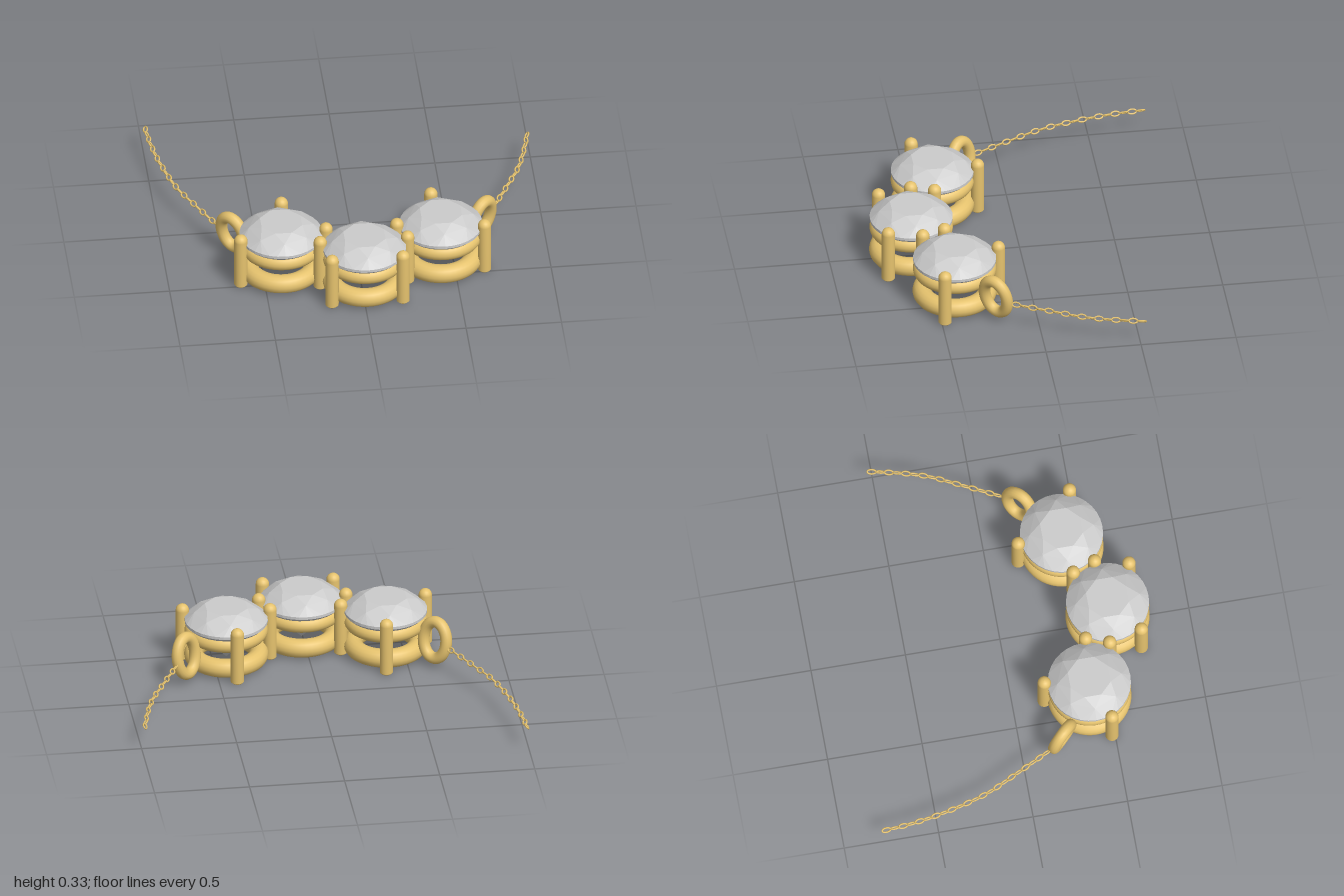
import * as THREE from 'three';
import { ConvexGeometry } from 'three/addons/geometries/ConvexGeometry.js';

const gold = new THREE.MeshStandardMaterial({ color: 0xe6c36e });
const gem = new THREE.MeshStandardMaterial({ color: 0xcccccc, flatShading: true });

function add(parent, name, geometry, material, x = 0, y = 0, z = 0) {
  const mesh = new THREE.Mesh(geometry, material);
  mesh.name = name;
  mesh.position.set(x, y, z);
  parent.add(mesh);
  return mesh;
}

// Closed oval of round wire lying in the XY plane
function ovalRing(rx, ry, wire, segments, sides) {
  const points = [];
  for (let i = 0; i < 16; i++) {
    const a = (i / 16) * Math.PI * 2;
    points.push(new THREE.Vector3(rx * Math.cos(a), ry * Math.sin(a), 0));
  }
  return new THREE.TubeGeometry(new THREE.CatmullRomCurve3(points, true), segments, wire, sides, true);
}

// Round brilliant: the convex hull of table, star, girdle and culet points
function brilliant() {
  const points = [new THREE.Vector3(0, 0.035, 0)];
  const circle = (r, y, n, offset = 0) => {
    for (let i = 0; i < n; i++) {
      const a = ((i + offset) / n) * Math.PI * 2;
      points.push(new THREE.Vector3(r * Math.cos(a), y, r * Math.sin(a)));
    }
  };
  circle(0.115, 0.33, 8, 0.5);
  circle(0.17, 0.302, 8);
  circle(0.217, 0.258, 32);
  circle(0.217, 0.243, 32);
  circle(0.105, 0.142, 8, 0.5);
  return new ConvexGeometry(points);
}

// Round post with a domed tip
function prongGeometry() {
  const r = 0.035, top = 0.315;
  const profile = [[0, 0], [r * 0.8, 0], [r, 0.008]].map(p => new THREE.Vector2(...p));
  for (let i = 0; i <= 6; i++) {
    const a = (i / 6) * Math.PI / 2;
    profile.push(new THREE.Vector2(r * Math.cos(a), top - r + r * Math.sin(a)));
  }
  return new THREE.LatheGeometry(profile, 20);
}

export function createModel() {
  const model = new THREE.Group();
  model.name = 'necklace';
  const body = new THREE.Group();
  body.name = 'pendantAndChain';
  body.position.x = 0.014;
  model.add(body);

  // Three stones, each over two rings
  const stone = brilliant();
  const lowerRing = new THREE.TorusGeometry(0.17, 0.05, 16, 48).rotateX(Math.PI / 2);
  const upperRing = new THREE.TorusGeometry(0.177, 0.041, 16, 48).rotateX(Math.PI / 2);
  for (const [x, z] of [[-0.419, 0.402], [0, 0.572], [0.419, 0.402]]) {
    const setting = new THREE.Group();
    setting.name = 'setting';
    setting.position.set(x, 0, z);
    body.add(setting);
    add(setting, 'stone', stone, gem);
    add(setting, 'lowerRing', lowerRing, gold, 0, 0.053, 0);
    add(setting, 'upperRing', upperRing, gold, 0, 0.193, 0);
  }

  const prong = prongGeometry();
  const bail = ovalRing(0.073, 0.1, 0.031, 40, 14);
  const link = ovalRing(0.023, 0.0125, 0.0045, 18, 6);
  const xAxis = new THREE.Vector3(1, 0, 0);

  for (const side of [-1, 1]) {
    // Prongs, mirrored about the middle stone
    for (const [x, z] of [[0.186, 0.423], [0.186, 0.718], [0.229, 0.543], [0.639, 0.483], [0.392, 0.168]]) {
      add(body, 'prong', prong, gold, side * x, 0, z);
    }

    // Oval loop joining the setting to the chain
    const loop = add(body, 'bail', bail, gold, side * 0.654, 0.15, 0.218);
    loop.rotation.set(0.15, side * Math.PI / 4, 0, 'YXZ');

    // Chain: the right-hand run is longer than the left-hand one
    const path = new THREE.CatmullRomCurve3(
      [[0.715, 0.14], [0.815, -0.06], [0.897, -0.235], [0.96, -0.465], [0.99, -0.64], [1.004, -0.797]]
        .map(([x, z]) => new THREE.Vector3(side * x, 0.135, z)));
    const chain = new THREE.Group();
    chain.name = 'chain';
    body.add(chain);
    const total = 22, count = side < 0 ? total : 16;
    for (let i = 0; i < count; i++) {
      const u = (i + 0.5) / total;
      const m = add(chain, 'chainLink', link, gold);
      m.position.copy(path.getPointAt(u));
      m.quaternion.setFromUnitVectors(xAxis, path.getTangentAt(u));
      m.rotateX((i % 2 ? 1 : -1) * Math.PI / 4);
    }
  }
  return model;
}
